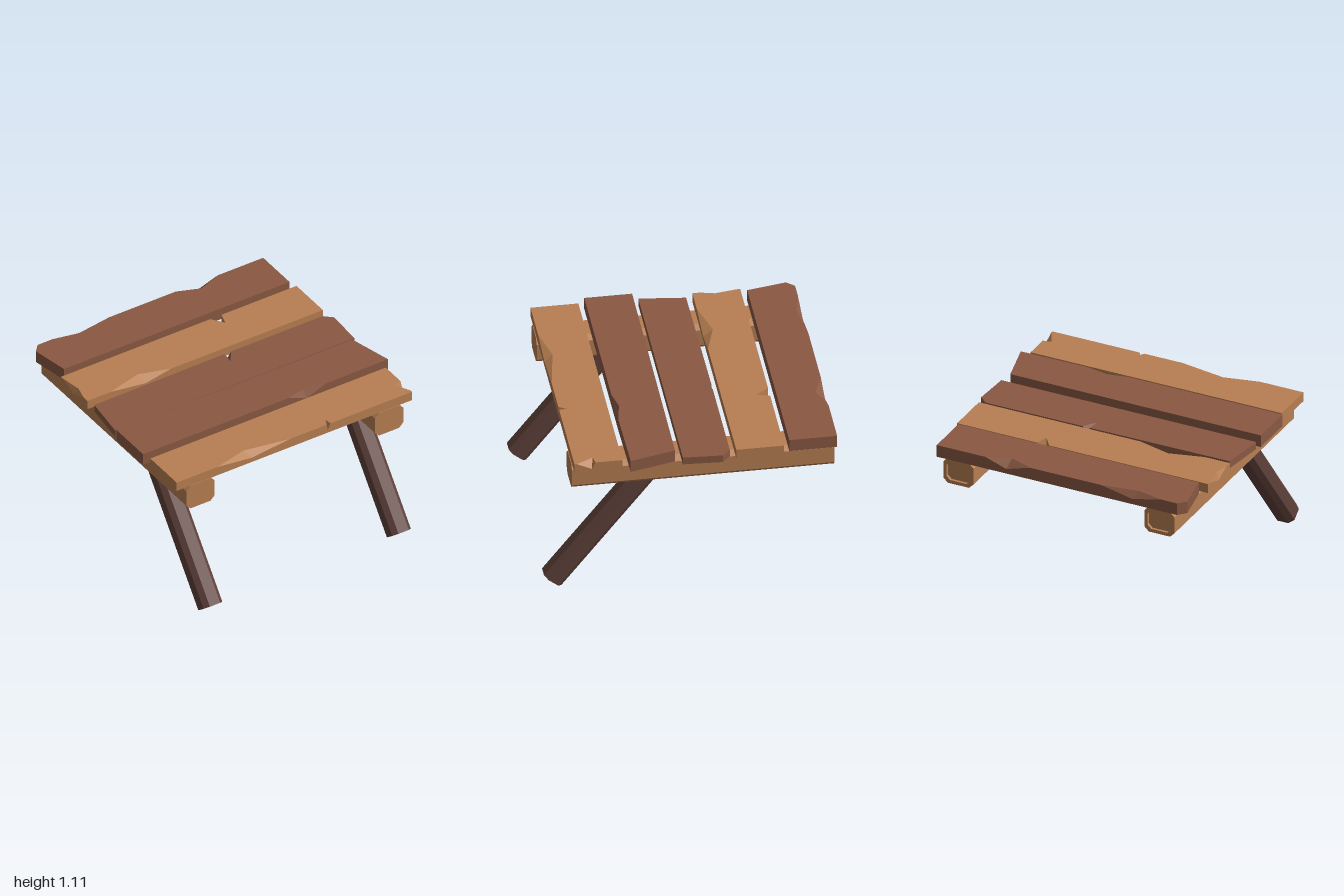
import * as THREE from 'three';

const BASE = 1.02; // height of the plank undersides

const lightWood = new THREE.MeshStandardMaterial({ color: 0xb87f52 });
lightWood.name = 'lightWood';
const brownWood = new THREE.MeshStandardMaterial({ color: 0x8a5943 });
brownWood.name = 'brownWood';
const darkWood = new THREE.MeshStandardMaterial({ color: 0x60413a });
darkWood.name = 'darkWood';

// Outlines run clockwise seen from above, as [x, z].
// A five-number entry is a chip in the edge: [top x, top z, side x, side z, side y].
const planks = [
  { name: 'frontPlank', top: 1.09, material: lightWood, outline: [
    [-0.97, 0.485], [0.94, 0.485], [0.94, 0.67], [0.88, 0.68, 0.94, 0.695, 1.04], [0.94, 0.8],
    [0.94, 0.815], [0.277, 0.815], [0.27, 0.765, 0.255, 0.815, 1.04], [0.24, 0.815],
    [-0.05, 0.815], [-0.39, 0.755, -0.36, 0.815, 1.055], [-0.64, 0.815], [-0.97, 0.815]] },
  { name: 'secondPlank', top: 1.11, material: brownWood, outline: [
    [-1, 0.11], [0.91, 0.117], [0.99, 0.435], [0.48, 0.44],
    [0.32, 0.41, 0.33, 0.44, 1.05], [0.18, 0.44], [-1, 0.44]] },
  { name: 'middlePlank', top: 1.075, material: brownWood, outline: [
    [-0.945, -0.253], [0.115, -0.26], [0.105, -0.17, 0.14, -0.26, 1.035], [0.17, -0.26],
    [0.91, -0.26], [0.97, -0.205], [0.955, 0.07], [-0.985, 0.07]] },
  { name: 'fourthPlank', top: 1.09, material: lightWood, outline: [
    [-0.97, -0.63], [0.24, -0.63], [0.305, -0.54], [0.33, -0.63], [0.94, -0.63], [0.94, -0.3],
    [-0.29, -0.3], [-0.52, -0.37, -0.5, -0.3, 1.05], [-0.78, -0.3], [-0.97, -0.3],
    [-0.97, -0.35], [-0.945, -0.45, -0.97, -0.47, 1.04], [-0.97, -0.61]] },
  { name: 'backPlank', top: 1.11, material: brownWood, outline: [
    [-0.92, -1], [-0.8, -1], [-0.61, -0.96, -0.58, -1, 1.06], [-0.34, -1],
    [0.2, -1], [0.37, -0.935, 0.38, -1, 1.055], [0.54, -1],
    [0.91, -1], [0.91, -0.67], [-0.92, -0.67], [-0.97, -0.945]] },
];

// Flat-sided board with broken edges
function plankGeometry(outline, top) {
  const positions = [];
  const tri = (a, b, c, outward) => {
    const n = b.clone().sub(a).cross(c.clone().sub(a));
    const corners = n.dot(outward) < 0 ? [a, c, b] : [a, b, c];
    for (const p of corners) positions.push(p.x, p.y, p.z);
  };
  const cap = (points, y, outward) => {
    const flat = points.map(([x, z]) => new THREE.Vector2(x, -z));
    const at = (i) => new THREE.Vector3(points[i][0], y, points[i][1]);
    for (const [a, b, c] of THREE.ShapeUtils.triangulateShape(flat, [])) tri(at(a), at(b), at(c), outward);
  };
  const up = new THREE.Vector3(0, 1, 0);
  cap(outline, top, up);
  cap(outline.filter((p) => p.length === 2), BASE, up.clone().negate());

  // Walls, with two sloping facets at each chip
  for (let i = 0; i < outline.length; i++) {
    const p = outline[i];
    if (p.length === 5) continue;
    const next = outline[(i + 1) % outline.length];
    const chip = next.length === 5 ? next : null;
    const q = chip ? outline[(i + 2) % outline.length] : next;
    const a = new THREE.Vector3(p[0], top, p[1]);
    const b = new THREE.Vector3(q[0], top, q[1]);
    const a0 = a.clone().setY(BASE);
    const b0 = b.clone().setY(BASE);
    const outward = new THREE.Vector3(b.z - a.z, 0, a.x - b.x).normalize();
    if (!chip) {
      tri(a, b, b0, outward);
      tri(a, b0, a0, outward);
      continue;
    }
    const inner = new THREE.Vector3(chip[0], top, chip[1]);
    const low = new THREE.Vector3(chip[2], chip[4], chip[3]);
    tri(a, a0, low, outward);
    tri(a0, b0, low, outward);
    tri(b0, b, low, outward);
    const slope = outward.clone().add(up);
    tri(a, inner, low, slope);
    tri(inner, b, low, slope);
  }
  const geometry = new THREE.BufferGeometry();
  geometry.setAttribute('position', new THREE.Float32BufferAttribute(positions, 3));
  geometry.computeVertexNormals();
  return geometry;
}

// Rectangle with cut corners
function octagon(hw, hh, cut) {
  return [
    [hw, -hh + cut], [hw, hh - cut], [hw - cut, hh], [-hw + cut, hh],
    [-hw, hh - cut], [-hw, -hh + cut], [-hw + cut, -hh], [hw - cut, -hh],
  ].map(([x, y]) => new THREE.Vector2(x, y));
}

function bar(points, depth, hole) {
  const shape = new THREE.Shape(points);
  if (hole) shape.holes.push(new THREE.Path(hole));
  return new THREE.ExtrudeGeometry(shape, { depth, bevelEnabled: false });
}

export function createModel() {
  const model = new THREE.Group();
  model.name = 'slantedPlankTable';
  const add = (parent, name, geometry, material) => {
    const mesh = new THREE.Mesh(geometry, material);
    mesh.name = name;
    parent.add(mesh);
    return mesh;
  };

  // Table top
  const tableTop = new THREE.Group();
  tableTop.name = 'tableTop';
  model.add(tableTop);
  for (const { name, top, material, outline } of planks) {
    add(tableTop, name, plankGeometry(outline, top), material);
  }

  // Beams with a shallow recess at the back end, and slanted legs
  const beamSection = octagon(0.115, 0.095, 0.034);
  const recess = octagon(0.09, 0.07, 0.028);
  const legSection = octagon(0.076, 0.076, 0.034);
  const legDirection = new THREE.Vector3(0, 0.785, -0.62).normalize();
  for (const [side, x] of [['right', -0.78], ['left', 0.75]]) {
    add(model, side + 'Beam', bar(beamSection, 1.79), lightWood).position.set(x, 0.927, -0.97);
    add(model, side + 'BeamRim', bar(beamSection, 0.02, recess), lightWood).position.set(x, 0.927, -0.99);
    const leg = add(model, side + 'Leg', bar(legSection, 1.1), darkWood);
    leg.position.set(x, 0.049, 0.942);
    leg.quaternion.setFromUnitVectors(new THREE.Vector3(0, 0, 1), legDirection);
  }
  return model;
}
